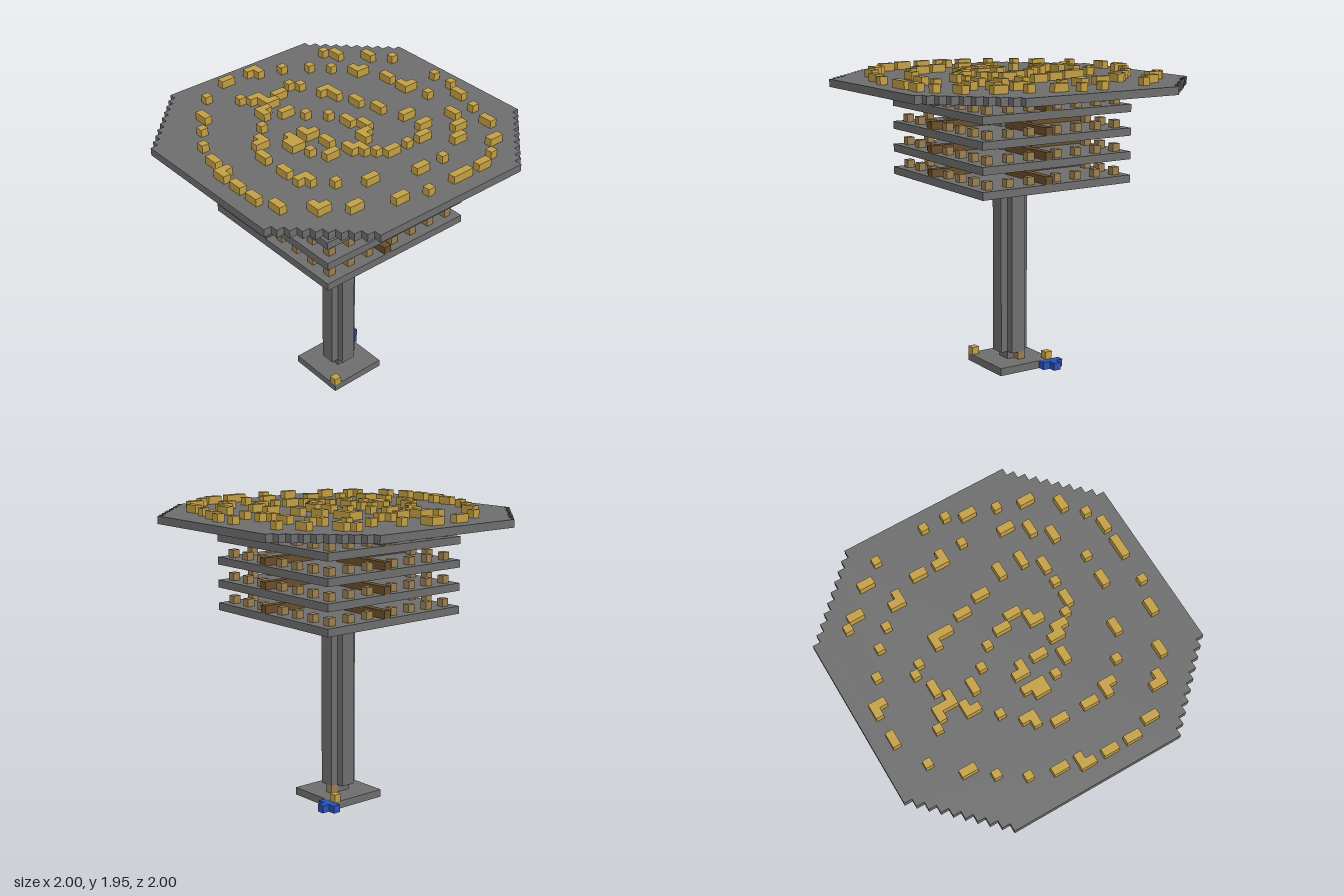
import * as THREE from 'three';
import { mergeGeometries } from 'three/addons/utils/BufferGeometryUtils.js';

const U = 0.05; // one block

const paint = (name, color) => Object.assign(new THREE.MeshStandardMaterial({ color }), { name });

// Box given by its lowest corner and size, all in blocks
function block(x, y, z, w = 1, h = 1, d = 1) {
  const g = new THREE.BoxGeometry(w * U, h * U, d * U);
  return g.translate((x + w / 2) * U, (y + h / 2) * U, (z + d / 2) * U);
}

// Upright prism over an outline in blocks
function prism(outline, y, h) {
  const shape = new THREE.Shape(outline.map(([a, b]) => new THREE.Vector2(a * U, b * U)));
  const g = new THREE.ExtrudeGeometry(shape, { depth: h * U, bevelEnabled: false });
  return g.rotateX(-Math.PI / 2).translate(0, y * U, 0);
}

// Repeats a quarter outline or a geometry by quarter turns
const turnOutline = (quarter) => [0, 1, 2, 3].flatMap((k) => quarter.map(([a, b]) => {
  for (let i = 0; i < k; i++) [a, b] = [-b, a];
  return [a, b];
}));
const turnAll = (geos) => mergeGeometries([0, 1, 2, 3].flatMap((k) =>
  geos.map((g) => g.clone().rotateY(k * Math.PI / 2))));

// Roof planting in block cells (x, z): single, two wide, two deep
const singles = [
  [0, -17], [-9, -16], [3, -16], [10, -16], [6, -14], [-6, -13], [-3, -10], [1, -12], [2, -11],
  [8, -12], [-14, -10], [-6, -8], [10, -10], [16, -9], [-16, -7], [-8, -6], [-2, -5], [-11, -3],
  [0, -3], [13, -2], [17, -2], [-18, 0], [-7, -2], [-4, -1], [-7, 2], [0, 4], [13, 1], [17, 1],
  [-11, 7], [-1, 7], [15, 7], [3, 8], [-9, 9], [-13, 12], [4, 13], [9, 16], [-2, 17], [4, 17],
];
const widePairs = [
  [-5, -18], [-1, -18], [-5, -12], [-2, -11], [-6, -9], [10, -9], [-4, -7], [3, -8], [-18, -1],
  [-8, -1], [-8, 0], [0, 3], [-6, 4], [7, 3], [-12, 6], [7, 6], [0, 8], [5, 8], [10, 9], [-6, 11],
  [8, 11], [-11, 14], [0, 13], [11, 14], [-6, 16], [2, 17], [6, 17],
];
const deepPairs = [
  [11, -15], [-12, -13], [-4, -11], [14, -12], [4, -7], [12, -6], [-17, -4], [-10, -4], [5, -4],
  [12, -3], [-12, -1], [-5, -2], [1, -1], [6, -1], [-4, 1], [2, 1], [-18, 2], [-12, 3], [-3, 4],
  [-2, 5], [16, 3], [-18, 5], [12, 6], [-17, 8], [14, 10], [-14, 11],
];

export function createModel() {
  const model = new THREE.Group();
  model.name = 'tower';
  const stone = paint('stone grey', 0x6e6e6e);
  const gold = paint('gold', 0xc4a045);
  const wood = paint('dark wood', 0x6b4e2c);
  const tan = paint('tan', 0x9c8052);
  const blue = paint('blue', 0x2c50b4);

  const add = (name, geometry, material, parent = model) => {
    const mesh = new THREE.Mesh(geometry, material);
    mesh.name = name;
    parent.add(mesh);
    return mesh;
  };

  // Foot: slab, core, entrance, corner lamps and a small pool
  add('baseSlab', block(-4, 0, -4, 8, 1, 8), stone);
  add('baseCore', block(-1, 1, -1, 2, 1, 2), stone);
  add('entrance', block(1, 1, -1), tan);
  add('shaftPlate', block(0, -0.03, -1, 1, 0.05, 1), wood);
  add('cornerLamps', mergeGeometries([block(3, 1, -4), block(-4, 1, 3)]), gold);
  add('pool', mergeGeometries([block(4, 0, -5, 1, 1, 3), block(5, 0, -4)]), blue);

  // Cross-shaped column
  add('column', prism(turnOutline([[2, -1], [2, 1], [1, 1]]), 2, 35), stone);

  // Four open floors, each with pinwheel walls and a ring of seats
  const walls = turnAll([block(-2, 0, 2, 1, 1, 9)]);
  const seats = turnAll([-10, -7, -4, 0, 3, 6].map((x) => block(x, 0, 9)));
  for (let i = 0; i < 4; i++) {
    const floor = new THREE.Group();
    floor.name = 'floor' + (i + 1);
    floor.position.y = (25 + 3 * i) * U;
    add('floorSlab', block(-11, 0, -11, 22, 1, 22), stone, floor);
    add('partitionWalls', walls, wood, floor).position.y = U;
    add('seats', seats, tan, floor).position.y = U;
    model.add(floor);
  }

  // Octagonal roof with stepped corners
  const corner = [];
  for (let i = 0; i <= 9; i++) {
    corner.push([20 - i, 11 + i]);
    if (i < 9) corner.push([19 - i, 11 + i]);
  }
  add('roof', prism(turnOutline(corner), 37, 1), stone);

  // Spiral planting on the roof
  add('roofPlanting', mergeGeometries([
    ...singles.map(([x, z]) => block(x, 38, z)),
    ...widePairs.map(([x, z]) => block(x, 38, z, 2, 1, 1)),
    ...deepPairs.map(([x, z]) => block(x, 38, z, 1, 1, 2)),
  ]), gold);

  return model;
}
